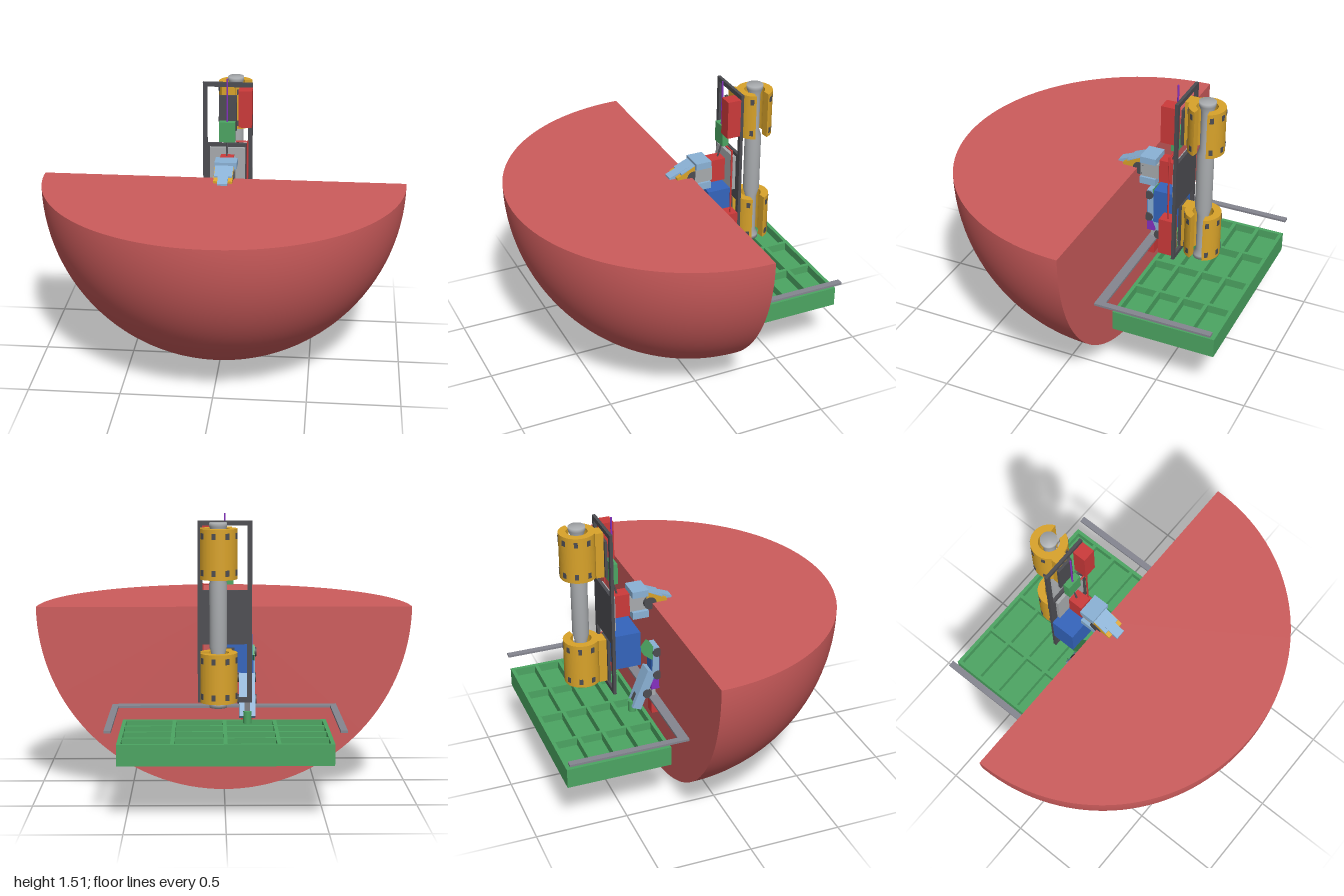
import * as THREE from 'three';

const mat = (name, color, side = THREE.FrontSide) => {
  const m = new THREE.MeshStandardMaterial({ color, side });
  m.name = name;
  return m;
};

export function createModel() {
  const group = new THREE.Group();
  const shell = mat('workspaceRed', 0xcd5c5c);
  const red = mat('motorRed', 0xcc3a3a);
  const green = mat('trayGreen', 0x4ca562);
  const gold = mat('clampGold', 0xd9a32a);
  const pale = mat('lightGrey', 0xa8abae);
  const dark = mat('darkGrey', 0x4d4d52);
  const mid = mat('railGrey', 0x858690);
  const blue = mat('boxBlue', 0x3465bd);
  const sky = mat('armBlue', 0x8bb2d6);
  const purple = mat('purple', 0x8630c0);

  const add = (name, geo, material, x = 0, y = 0, z = 0, parent = group) => {
    const m = new THREE.Mesh(geo, material);
    m.name = name;
    m.position.set(x, y, z);
    parent.add(m);
    return m;
  };
  // Box given by its limits on each axis
  const box = (name, material, [x0, x1], [y0, y1], [z0, z1]) =>
    add(name, new THREE.BoxGeometry(x1 - x0, y1 - y0, z1 - z0), material,
      (x0 + x1) / 2, (y0 + y1) / 2, (z0 + z1) / 2);
  // Rod or square beam between two points
  const between = (name, geoOf, material, a, b) => {
    const p = new THREE.Vector3(...a), q = new THREE.Vector3(...b);
    const d = q.clone().sub(p);
    const m = add(name, geoOf(d.length()), material);
    m.position.copy(p).add(q).multiplyScalar(0.5);
    m.quaternion.setFromUnitVectors(new THREE.Vector3(0, 1, 0), d.normalize());
    return m;
  };
  const rod = r => l => new THREE.CylinderGeometry(r, r, l, 16);
  const beam = (w, d) => l => new THREE.BoxGeometry(w, l, d);
  // Joint pivot, axis along x
  const pivot = (name, x, y, z, r, w) =>
    add(name, new THREE.CylinderGeometry(r, r, w, 24).rotateZ(Math.PI / 2), dark, x, y, z);

  // Quarter-sphere reach volume with flat top and back
  const cap = () => new THREE.CircleGeometry(1, 64, Math.PI, Math.PI);
  add('reachVolume', new THREE.SphereGeometry(1, 64, 32, 0, Math.PI, Math.PI / 2, Math.PI / 2), shell, 0, 1, -0.18);
  add('reachTop', cap().rotateX(-Math.PI / 2), shell, 0, 1, -0.18);
  add('reachBack', cap().rotateY(Math.PI), shell, 0, 1, -0.18);

  // Tray: floor, rim and dividers of a 4 x 4 grid
  box('trayFloor', green, [-0.54, 0.54], [0.295, 0.36], [-0.83, -0.26]);
  for (let i = 0; i <= 4; i++) {
    const x = -0.53 + i * 0.265, z = -0.82 + i * 0.1375;
    box('trayDividerLong', green, [x - 0.01, x + 0.01], [0.36, 0.405], [-0.83, -0.26]);
    box('trayDividerCross', green, [-0.54, 0.54], [0.36, 0.4045], [z - 0.01, z + 0.01]);
  }

  // U-shaped rail around the tray
  box('railFront', mid, [-0.6, 0.6], [0.463, 0.475], [-0.235, -0.182]);
  for (const s of [-1, 1])
    add('railSide', new THREE.BoxGeometry(0.035, 0.012, 0.595), mid, s * 0.5825, 0.469, -0.5325);

  // Column, necked where the clamps grip it
  const profile = [[0, 0.535], [0.045, 0.535], [0.045, 0.555], [0.032, 0.585], [0.032, 0.8], [0.045, 0.85],
    [0.045, 1.17], [0.032, 1.21], [0.032, 1.42], [0.045, 1.455], [0.045, 1.475], [0, 1.475]];
  const cx = 0.035, cz = -0.555;
  add('column', new THREE.LatheGeometry(profile.map(p => new THREE.Vector2(...p)), 32), pale, cx, 0, cz)
    .geometry.computeBoundingSphere();

  // Open ring clamps with screws
  const ring = new THREE.Shape();
  ring.absarc(0, 0, 0.097, 0.36, Math.PI * 2 - 0.36, false);
  ring.absarc(0, 0, 0.056, Math.PI * 2 - 0.55, 0.55, true);
  for (const y of [0.565, 1.193]) {
    const geo = new THREE.ExtrudeGeometry(ring, { depth: 0.253, bevelEnabled: false, curveSegments: 32 });
    add('clamp', geo.rotateX(-Math.PI / 2), gold, cx, y, cz);
    box('clampStem', gold, [-0.035, 0.04], [y, y + 0.253], [-0.48, -0.435]);
    for (const dy of [0.035, 0.218])
      for (let i = 0; i < 8; i++) {
        const a = 0.6 + i * (Math.PI * 2 - 1.2) / 7;
        const s = add('clampScrew', new THREE.BoxGeometry(0.008, 0.03, 0.02), dark,
          cx + Math.cos(a) * 0.0955, y + dy, cz - Math.sin(a) * 0.0955);
        s.rotation.y = a;
      }
  }

  // Upright frame and its panels
  const fz = [-0.437, -0.42];
  for (const s of [-1, 1])
    add('frameUpright', new THREE.BoxGeometry(0.025, 0.94, 0.017), dark, s * 0.1275, 1.005, -0.4285);
  box('frameTop', dark, [-0.115, 0.115], [1.45, 1.475], fz);
  box('frameBottom', dark, [-0.115, 0.115], [0.535, 0.56], fz);
  box('framePanel', dark, [-0.115, 0.115], [0.84, 1.12], fz);
  box('clampPlateTop', dark, [-0.05, 0.05], [1.195, 1.4], [-0.435, -0.42]);
  box('clampPlateLow', dark, [-0.05, 0.05], [0.57, 0.82], [-0.435, -0.42]);
  box('carriagePlate', pale, [-0.1, 0.1], [0.9, 1.1], [-0.42, -0.402]);

  // Drives, control box and linkage
  box('upperMotor', red, [0.065, 0.14], [1.24, 1.45], [-0.42, -0.345]);
  box('lowerMotor', red, [0.065, 0.14], [0.557, 0.77], [-0.42, -0.345]);
  box('controlBox', blue, [-0.142, 0.06], [0.69, 0.888], [-0.42, -0.28]);
  box('slider', green, [-0.045, 0.045], [1.145, 1.26], [-0.402, -0.365]);
  between('leadScrew', rod(0.005), purple, [0, 1.24, -0.38], [0, 1.51, -0.38]);
  between('linkVertical', rod(0.005), red, [0.115, 0.77, -0.387], [0.115, 1.15, -0.387]);
  between('linkCross', rod(0.005), red, [0.05, 1.145, -0.387], [0.118, 1.145, -0.387]);
  between('linkSlope', rod(0.005), dark, [0, 1.15, -0.385], [0, 1.05, -0.355]);
  box('armMotor', red, [-0.035, 0.04], [0.938, 1.068], [-0.385, -0.3]);

  // Upper arm: shoulder clevis and pointed gripper
  box('shoulderCore', pale, [-0.035, 0.055], [0.96, 1.045], [-0.3, -0.2]);
  box('shoulderTop', sky, [-0.055, 0.068], [1.045, 1.082], [-0.29, -0.2]);
  box('shoulderBottom', sky, [-0.055, 0.068], [0.92, 0.96], [-0.29, -0.2]);
  pivot('wristPivot', 0, 1.0, -0.19, 0.035, 0.11);
  const wedge = (y0, tipY, tipZ) => {
    const s = new THREE.Shape([[0.21, y0], [0.21, 1.07], [-tipZ, tipY + 0.012], [-tipZ, tipY]]
      .map(p => new THREE.Vector2(...p)));
    return s;
  };
  const finger = (name, material, shape, x, w) => {
    const geo = new THREE.ExtrudeGeometry(shape, { depth: w, bevelEnabled: false });
    add(name, geo.rotateY(Math.PI / 2), material, x, 0, 0);
  };
  finger('gripperBody', sky, wedge(1.0, 1.02, -0.12), -0.05, 0.1);
  for (const x of [-0.05, 0.03])
    finger('gripperFinger', gold, wedge(0.97, 1.0, -0.095), x - 0.002, 0.024);
  finger('gripperTip', sky, wedge(0.99, 0.998, -0.06), -0.028, 0.056);

  // Lower arm: linked joints reaching down to the tray
  const ax = -0.12;
  between('armHead', beam(0.08, 0.06), green, [ax, 0.785, -0.205], [ax, 0.735, -0.245]);
  box('armBlock', blue, [ax - 0.035, ax + 0.035], [0.59, 0.72], [-0.225, -0.18]);
  box('armSpacer', purple, [ax - 0.03, ax + 0.03], [0.525, 0.61], [-0.225, -0.18]);
  box('armPost', pale, [ax - 0.01, ax + 0.01], [0.44, 0.55], [-0.215, -0.195]);
  box('armEnd', red, [ax - 0.03, ax + 0.03], [0.375, 0.452], [-0.225, -0.18]);
  between('upperLink', beam(0.085, 0.035), sky, [ax, 0.79, -0.2], [ax, 0.62, -0.205]);
  between('forearm', beam(0.085, 0.05), sky, [ax, 0.645, -0.225], [ax, 0.43, -0.315]);
  between('forearmSpine', beam(0.03, 0.012), dark, [ax, 0.61, -0.257], [ax, 0.43, -0.338]);
  pivot('upperPivot', ax, 0.76, -0.195, 0.025, 0.1);
  pivot('middlePivot', ax, 0.62, -0.195, 0.025, 0.1);
  pivot('lowerPivot', ax, 0.515, -0.255, 0.025, 0.1);
  between('foot', rod(0.022), green, [ax, 0.4, -0.328], [ax, 0.465, -0.328]);

  return group;
}
